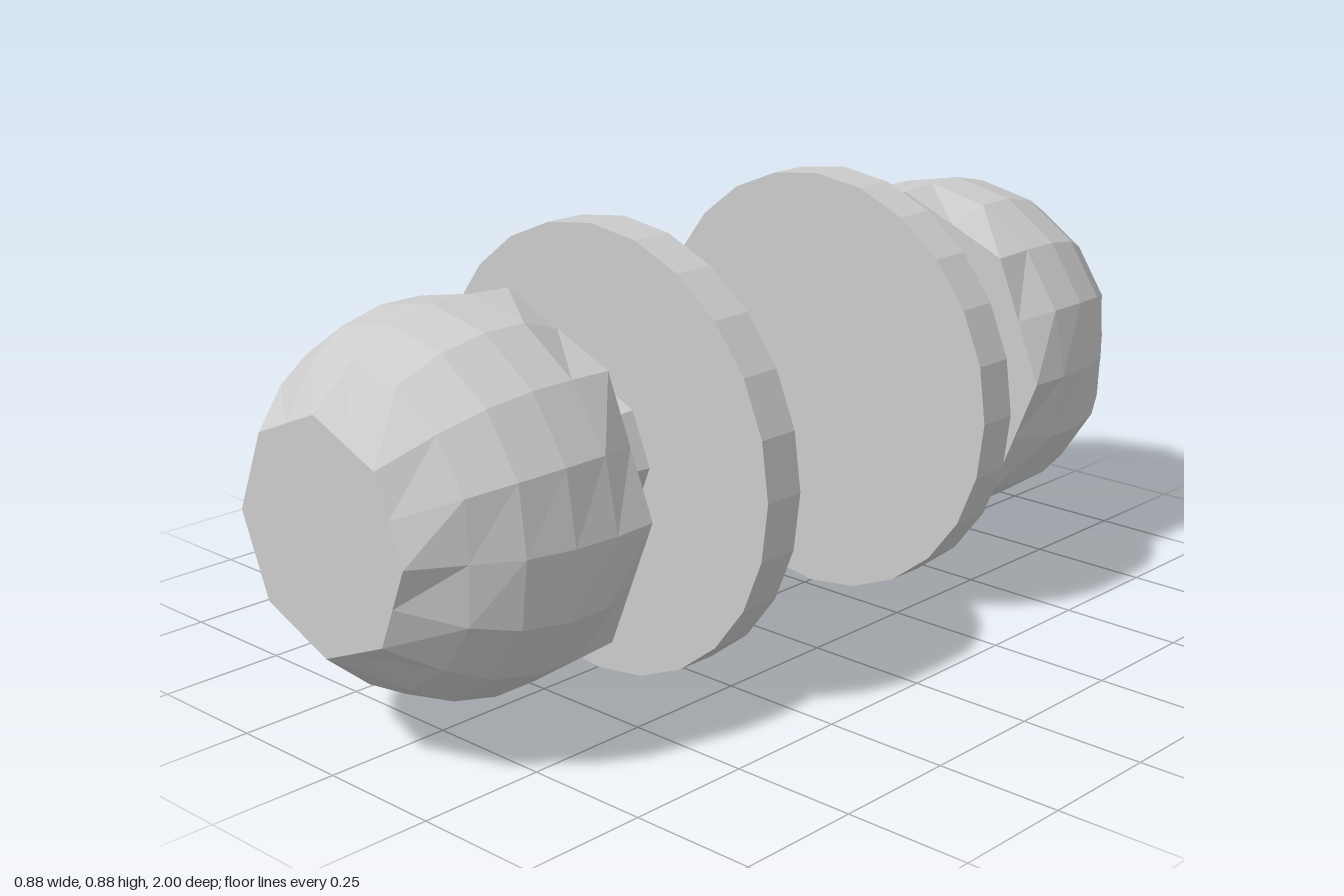
import * as THREE from 'three';

const AXIS_Y = 0.438;
const SIDES = 16;
const material = new THREE.MeshStandardMaterial({ color: 0xcccccc, flatShading: true, side: THREE.DoubleSide });

// Faceted turned part along +z. Each ring: [z, radius, octagonal, side dent].
function turned(name, rings) {
  const points = rings.map(([z, r]) => new THREE.Vector2(r, z));
  const geo = new THREE.LatheGeometry(points, SIDES);
  const pos = geo.attributes.position;
  for (let k = 0; k < pos.count; k++) {
    const seg = Math.floor(k / rings.length);
    const [, , octagonal, dent = 0] = rings[k % rings.length];
    let s = 1;
    // pull every second corner onto the edge of an octagon
    if (octagonal && seg % 2) s = Math.cos(Math.PI / 8);
    // small pinch on the left and right
    if (seg % 8 === 4) s -= dent;
    pos.setX(k, pos.getX(k) * s);
    pos.setZ(k, pos.getZ(k) * s);
  }
  geo.rotateX(Math.PI / 2);
  geo.computeVertexNormals();
  const mesh = new THREE.Mesh(geo, material);
  mesh.name = name;
  return mesh;
}

function createHandle(name) {
  const handle = new THREE.Group();
  handle.name = name;

  // round mounting plate
  const plateGeo = new THREE.CylinderGeometry(0.438, 0.438, 0.086, 24);
  plateGeo.rotateX(Math.PI / 2);
  const plate = new THREE.Mesh(plateGeo, material);
  plate.name = 'mountingPlate';
  plate.position.z = 0.315;

  // waisted neck
  const neck = turned('neck', [
    [0.35, 0.147, true],
    [0.45, 0.132, true],
    [0.52, 0.178, true],
    [0.548, 0.185, true],
    [0.562, 0.25, true],
  ]);

  // rounded knob with a flat octagonal face
  const knob = turned('knob', [
    [0.562, 0, false],
    [0.562, 0.355, true],
    [0.65, 0.36, false],
    [0.74, 0.36, false, 0.02],
    [0.83, 0.34, false, 0.03],
    [0.91, 0.295, false, 0.06],
    [1, 0.219, true],
    [1, 0, false],
  ]);

  handle.add(plate, neck, knob);
  return handle;
}

export function createModel() {
  const model = new THREE.Group();
  model.name = 'doorKnobPair';
  const front = createHandle('frontHandle');
  const back = createHandle('backHandle');
  back.rotation.y = Math.PI;
  for (const handle of [front, back]) {
    handle.position.y = AXIS_Y;
    model.add(handle);
  }
  return model;
}
